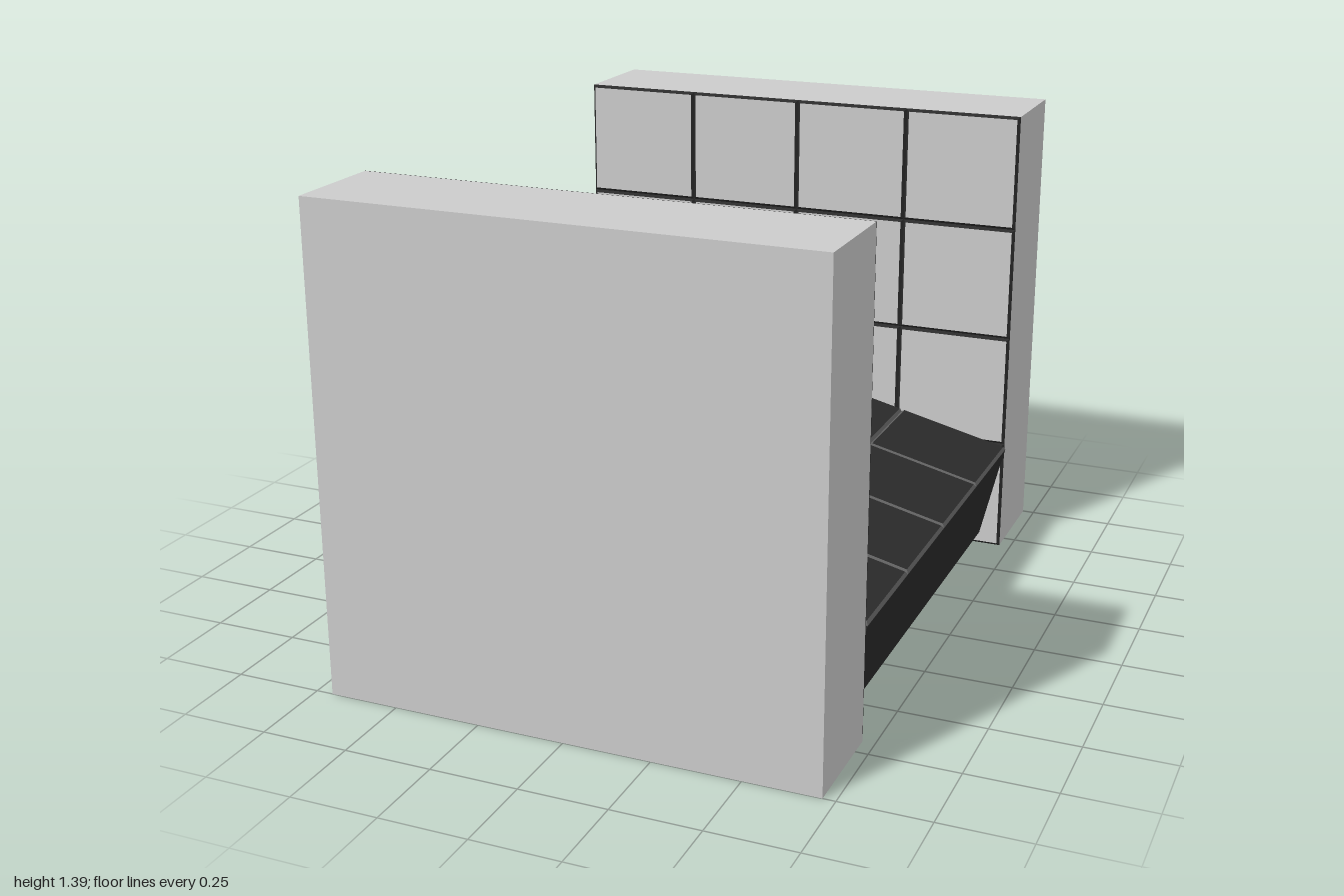
import * as THREE from 'three';

const material = (color) => new THREE.MeshStandardMaterial({ color });
const BEVEL = 0.008;
const LIP = 0.002;

// A square grid of shallow bevelled pads facing +z, centred on the origin
function tiledPanel(name, width, height, count, faceMaterial, edgeMaterial) {
  const panel = new THREE.Group();
  panel.name = name;
  const w = width / count;
  const h = height / count;
  const x = w / 2 - BEVEL;
  const y = h / 2 - BEVEL;
  const outline = new THREE.Shape([
    new THREE.Vector2(-x, -y),
    new THREE.Vector2(x, -y),
    new THREE.Vector2(x, y),
    new THREE.Vector2(-x, y),
  ]);
  const pad = new THREE.ExtrudeGeometry(outline, {
    depth: LIP,
    bevelEnabled: true,
    bevelSegments: 1,
    bevelSize: BEVEL,
    bevelThickness: BEVEL,
  });
  for (let row = 0; row < count; row++) {
    for (let col = 0; col < count; col++) {
      const mesh = new THREE.Mesh(pad, [faceMaterial, edgeMaterial]);
      mesh.name = 'pad';
      mesh.position.set((col + 0.5) * w - width / 2, (row + 0.5) * h - height / 2, 0);
      panel.add(mesh);
    }
  }
  return panel;
}

function box(name, w, h, d, mat) {
  const mesh = new THREE.Mesh(new THREE.BoxGeometry(w, h, d), mat);
  mesh.name = name;
  return mesh;
}

export function createModel() {
  const model = new THREE.Group();
  model.name = 'armchair';
  const grey = material(0xcccccc);
  const dark = material(0x2a2a2a);
  const seam = material(0x606060);
  const rise = BEVEL + LIP;

  // Two slab arms, with padded inner faces
  const armWidth = 1.416;
  const armHeight = 1.39;
  const armDepth = 0.308;
  for (const side of [-1, 1]) {
    const arm = new THREE.Group();
    arm.name = side > 0 ? 'frontArm' : 'backArm';
    arm.add(box('armSlab', armWidth, armHeight, armDepth, grey));
    const panel = tiledPanel('armPadding', armWidth, armHeight, 4, grey, dark);
    panel.position.z = armDepth / 2;
    arm.add(panel);
    arm.position.set(0.007, armHeight / 2, side * (1 - armDepth / 2));
    if (side > 0) arm.rotation.y = Math.PI;
    model.add(arm);
  }

  // Thick seat sloping down towards +x, with a quilted top
  const seat = new THREE.Group();
  seat.name = 'seat';
  const length = 1.41;
  const thickness = 0.309;
  const depth = 1.376;
  const body = box('seatBody', length, thickness - rise, depth, dark);
  body.position.y = -rise / 2;
  const quilt = tiledPanel('seatPadding', length, depth, 4, dark, seam);
  quilt.rotation.x = -Math.PI / 2;
  quilt.position.y = thickness / 2 - rise;
  seat.add(body, quilt);
  seat.position.y = 0.353;
  seat.rotation.z = -0.236;
  model.add(seat);

  return model;
}
